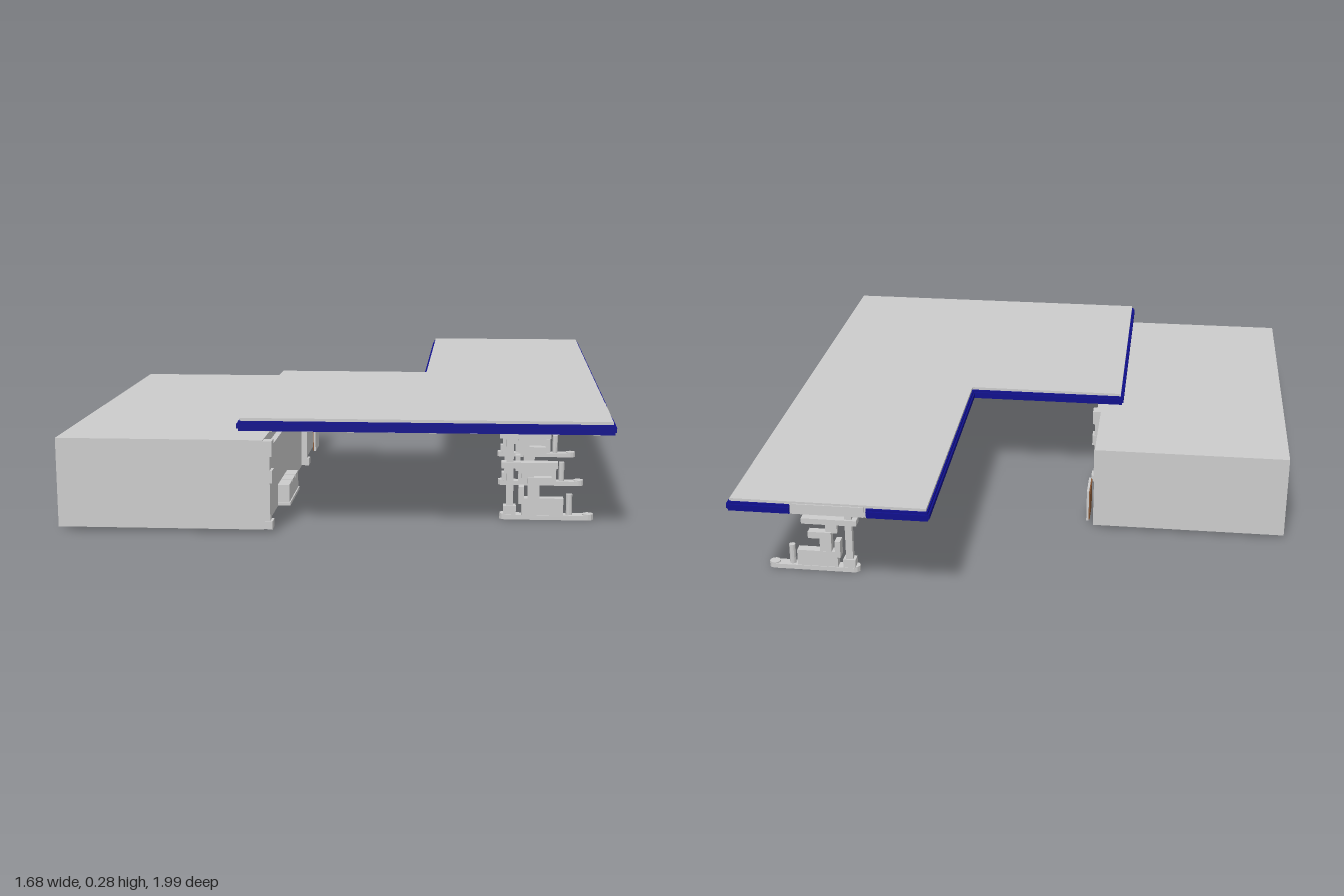
import * as THREE from 'three';

const grey = new THREE.MeshStandardMaterial({ color: 0xcccccc, flatShading: true });
const blue = new THREE.MeshStandardMaterial({ color: 0x10108c, flatShading: true });
const brown = new THREE.MeshStandardMaterial({ color: 0x8a5a38, flatShading: true });

// Box given by its minimum and maximum on each axis
function box(parent, name, [x0, x1], [y0, y1], [z0, z1], mat = grey) {
  const m = new THREE.Mesh(new THREE.BoxGeometry(x1 - x0, y1 - y0, z1 - z0), mat);
  m.position.set((x0 + x1) / 2, (y0 + y1) / 2, (z0 + z1) / 2);
  m.name = name;
  parent.add(m);
  return m;
}

function cylinder(parent, name, r, [y0, y1], x, z) {
  const m = new THREE.Mesh(new THREE.CylinderGeometry(r, r, y1 - y0, 10), grey);
  m.position.set(x, (y0 + y1) / 2, z);
  m.name = name;
  parent.add(m);
}

// L-shaped roof over the forecourt, with a stepped fascia
function makeCanopy() {
  const g = new THREE.Group();
  g.name = 'canopy';
  const corners = [[0.557, -0.816], [0.557, 0.703], [-0.336, 0.703], [-0.336, -0.054], [0.082, -0.054], [0.082, -0.816]];
  const shape = new THREE.Shape(corners.map(([x, z]) => new THREE.Vector2(x, -z)));
  const slab = new THREE.Mesh(new THREE.ExtrudeGeometry(shape, { depth: 0.032, bevelEnabled: false }), grey);
  slab.rotation.x = -Math.PI / 2;
  slab.position.y = 0.253;
  slab.name = 'canopyRoof';
  g.add(slab);

  // Fascia runs; two runs are interrupted by plain panels
  const runs = [
    [0.557, 0.557, -0.816, 0.40], [0.557, 0.557, 0.585, 0.703],
    [-0.336, 0.557, 0.703, 0.703], [-0.336, -0.336, -0.054, 0.703],
    [-0.336, 0.082, -0.054, -0.054], [0.082, 0.082, -0.816, -0.054],
    [0.082, 0.222, -0.816, -0.816], [0.415, 0.557, -0.816, -0.816],
  ];
  for (const [x0, x1, z0, z1] of runs) {
    for (const [out, y0, y1] of [[0.004, 0.254, 0.278], [0.008, 0.26, 0.272]]) {
      const dx = x0 === x1 ? out : 0.004, dz = z0 === z1 ? out : 0.004;
      box(g, 'fasciaTrim', [x0 - dx, x1 + dx], [y0, y1], [z0 - dz, z1 + dz], blue);
    }
  }
  box(g, 'fasciaPanelSide', [0.555, 0.56], [0.254, 0.28], [0.41, 0.575]);
  box(g, 'fasciaPanelBack', [0.232, 0.405], [0.254, 0.28], [-0.819, -0.814]);
  return g;
}

// Post, kerb, dispenser and bollards of one fuelling island
function makeIsland() {
  const g = new THREE.Group();
  g.name = 'fuelIsland';
  box(g, 'canopyPost', [-0.009, 0.009], [0, 0.254], [-0.008, 0.008]);
  box(g, 'kerb', [-0.012, 0.197], [0, 0.012], [-0.014, 0.014]);
  for (const x of [-0.012, 0.197]) cylinder(g, 'kerbEnd', 0.014, [0, 0.015], x, 0);
  box(g, 'postFoot', [-0.016, 0.016], [0.01, 0.035], [-0.013, 0.013]);
  box(g, 'dispenserBase', [0.03, 0.135], [0.01, 0.055], [-0.012, 0.012]);
  box(g, 'dispenserColumn', [0.045, 0.075], [0.05, 0.108], [-0.011, 0.011]);
  box(g, 'dispenserHead', [0.045, 0.105], [0.09, 0.108], [-0.011, 0.011]);
  box(g, 'nozzleHolder', [0.022, 0.036], [0.04, 0.085], [-0.014, 0.014]);
  cylinder(g, 'bollard', 0.008, [0.01, 0.065], 0.15, 0);
  box(g, 'signBoard', [-0.022, 0.12], [0.132, 0.147], [-0.014, 0.014]);
  box(g, 'signBracket', [0.03, 0.06], [0.105, 0.132], [-0.006, 0.006]);
  return g;
}

// Shop block with a framed front, chests and an end panel
function makeShop() {
  const g = new THREE.Group();
  g.name = 'shop';
  box(g, 'shopBlock', [-0.791, -0.282], [0.008, 0.23], [-0.318, 0.701]);
  for (const [z0, z1] of [[-0.053, -0.026], [0.674, 0.701]]) {
    box(g, 'pilaster', [-0.282, -0.266], [0.01, 0.226], [z0, z1]);
    for (const [y0, y1] of [[0.01, 0.03], [0.125, 0.155], [0.19, 0.228]])
      box(g, 'pilasterBand', [-0.282, -0.26], [y0, y1], [z0 - 0.003, z1 + 0.003]);
  }
  box(g, 'frontBeam', [-0.282, -0.268], [0.197, 0.206], [-0.026, 0.674]);
  for (let i = 0; i < 3; i++) {
    const z = 0.282 + i * 0.06;
    box(g, 'chest', [-0.282, -0.252], [0.01, 0.064], [z, z + 0.058]);
  }
  box(g, 'chestPlinth', [-0.282, -0.249], [0.01, 0.018], [0.278, 0.464]);
  box(g, 'endPanel', [-0.269, -0.263], [0.012, 0.1], [-0.303, -0.217]);
  box(g, 'endPanelBacking', [-0.272, -0.269], [0.014, 0.098], [-0.301, -0.219], brown);
  return g;
}

export function createModel() {
  const model = new THREE.Group();
  model.name = 'fillingStation';
  // The whole layout is turned on its plot
  const site = new THREE.Group();
  site.name = 'site';
  site.rotation.y = 0.4995;
  model.add(site);
  site.add(makeCanopy(), makeShop());

  for (let i = 0; i < 4; i++) {
    const z = 0.519 - i * 0.381;
    const island = makeIsland();
    island.position.set(0.317, 0, z);
    site.add(island);
    // Paired lamps under the canopy on either side of each island
    for (const x of [0.15, 0.485])
      for (const dz of [-0.022, 0.022])
        box(site, 'canopyLamp', [x - 0.012, x + 0.012], [0.249, 0.254], [z + dz - 0.012, z + dz + 0.012]);
  }
  return model;
}
